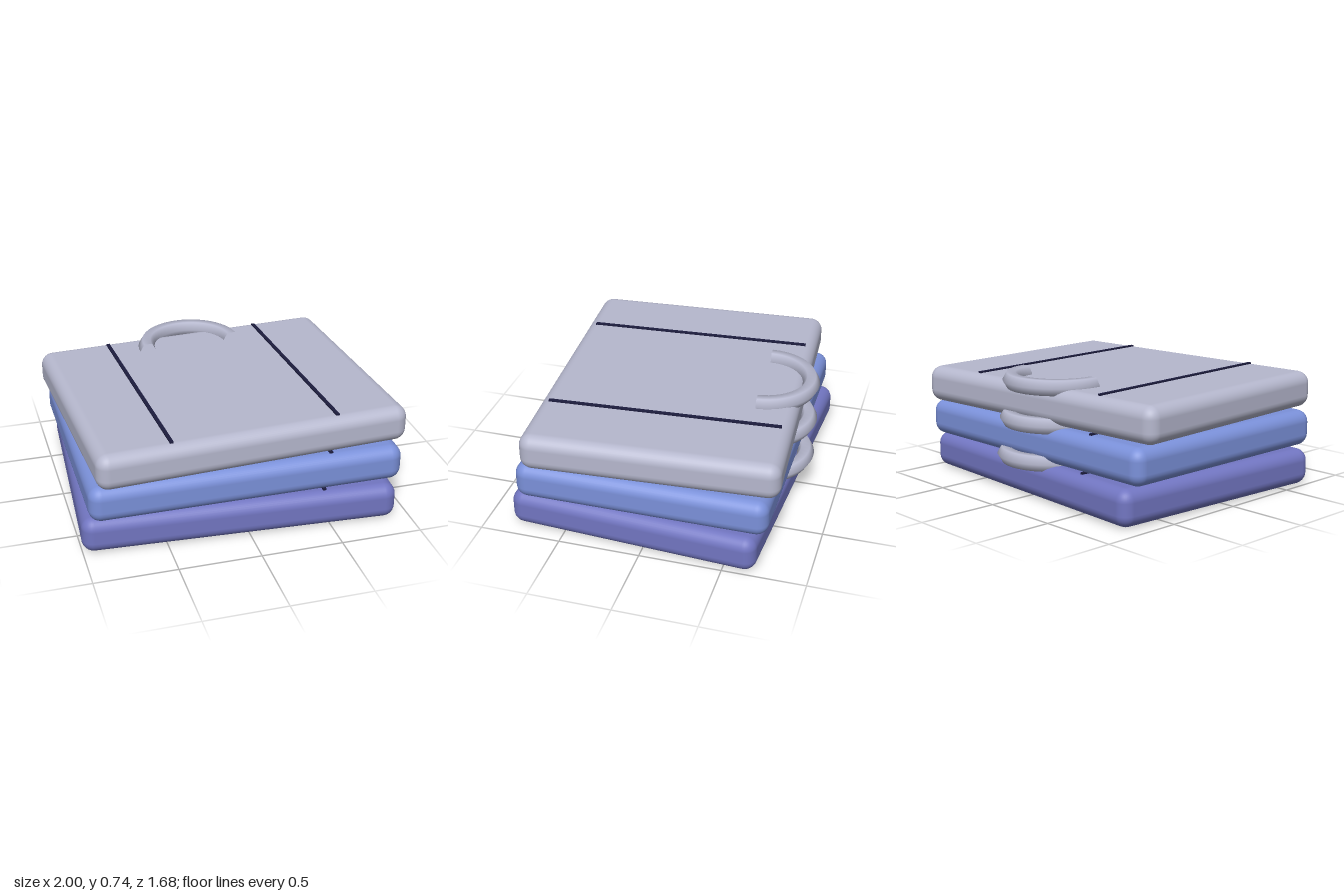
import * as THREE from 'three';
import { RoundedBoxGeometry } from 'three/addons/geometries/RoundedBoxGeometry.js';

function material(name, color) {
  const m = new THREE.MeshStandardMaterial({ color });
  m.name = name;
  return m;
}

function addMesh(parent, name, geometry, mat, x, y, z) {
  const mesh = new THREE.Mesh(geometry, mat);
  mesh.name = name;
  mesh.position.set(x, y, z);
  parent.add(mesh);
  return mesh;
}

export function createModel() {
  const model = new THREE.Group();
  model.name = 'suitcaseStack';

  const silver = material('silver lilac', 0xb6b8ce);
  const blue = material('soft blue', 0x7b91da);
  const violet = material('violet', 0x7276c2);
  const navy = material('dark navy', 0x1c1c3e);

  const height = 0.225;
  const spacing = 0.2325;
  const bodyGeometry = new RoundedBoxGeometry(1.92, height, 1.535, 4, 0.075);
  const strapGeometry = new THREE.BoxGeometry(0.022, 0.02, 1.41);
  // Half ring with a hexagonal section, laid flat and arching toward the back
  const handleGeometry = new THREE.TorusGeometry(0.288, 0.053, 6, 24, Math.PI);
  handleGeometry.rotateX(-Math.PI / 2);

  // Three cases, each turned slightly against the next
  const cases = [
    { name: 'bottomCase', mat: violet, turn: -0.06 },
    { name: 'middleCase', mat: blue, turn: 0 },
    { name: 'topCase', mat: silver, turn: 0.06 },
  ];
  cases.forEach(({ name, mat, turn }, i) => {
    const suitcase = new THREE.Group();
    suitcase.name = name;
    suitcase.position.set(0, i * spacing, 0.02);
    suitcase.rotation.y = turn;
    addMesh(suitcase, 'body', bodyGeometry, mat, 0, height / 2, 0);
    addMesh(suitcase, 'handle', handleGeometry, silver, 0, height + 0.006, -0.52);
    for (const side of [-1, 1]) {
      addMesh(suitcase, side > 0 ? 'leftStrap' : 'rightStrap', strapGeometry, navy,
        side * 0.512, height - 0.001, 0);
    }
    model.add(suitcase);
  });

  return model;
}
